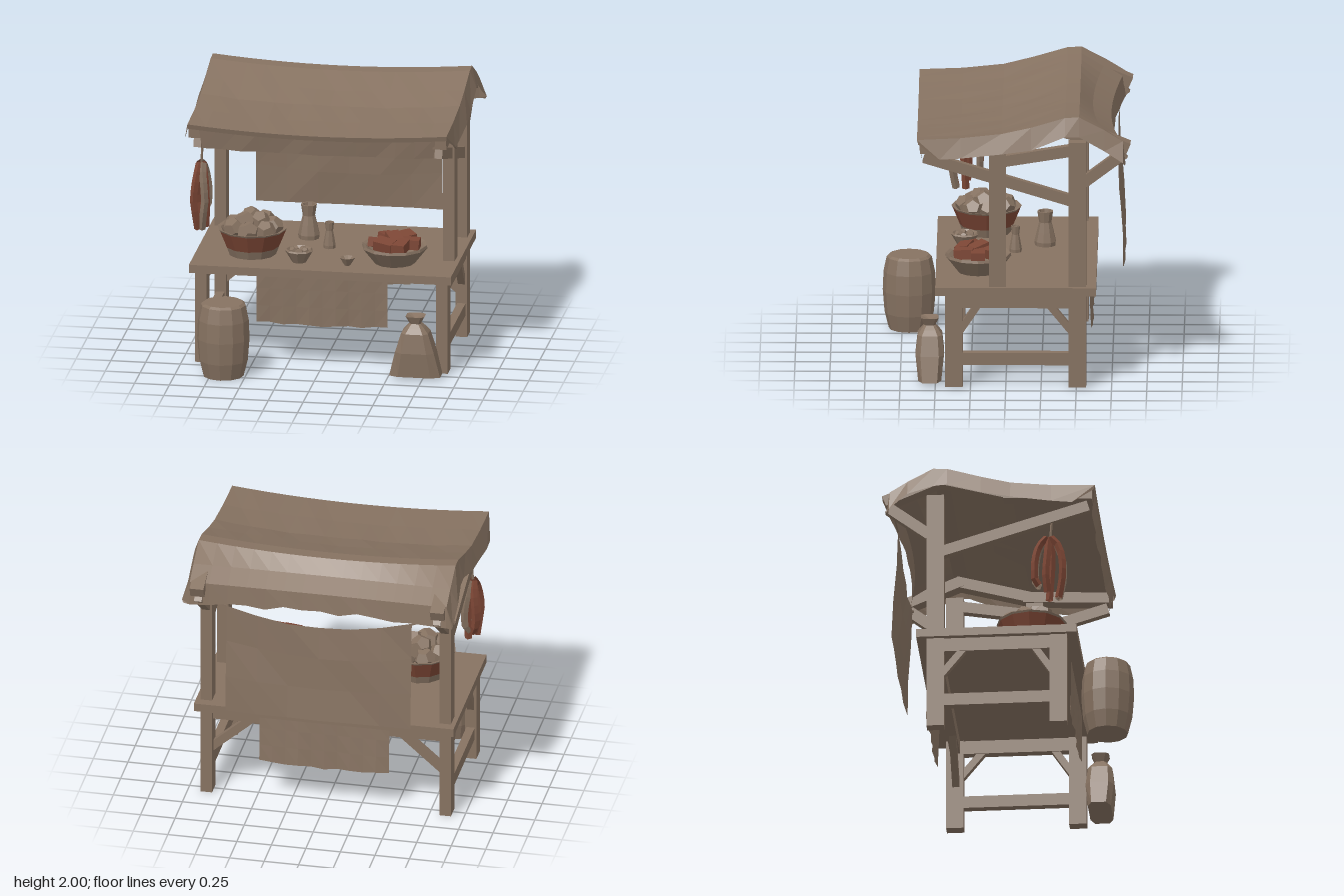
import * as THREE from 'three';

export function createModel() {
  const model = new THREE.Group();
  const brown = new THREE.MeshStandardMaterial({ color: 0x867261, side: THREE.DoubleSide });
  brown.name = 'weathered brown';
  const red = new THREE.MeshStandardMaterial({ color: 0x7c4635, side: THREE.DoubleSide });
  red.name = 'rust red';

  // Faceted mesh
  function add(name, geo, mat = brown, x = 0, y = 0, z = 0) {
    const g = geo.index ? geo.toNonIndexed() : geo;
    g.computeVertexNormals();
    const m = new THREE.Mesh(g, mat);
    m.name = name;
    m.position.set(x, y, z);
    model.add(m);
    return m;
  }
  // Box given by its lowest and highest corner
  const block = (name, a, b) => add(name,
    new THREE.BoxGeometry(b[0] - a[0], b[1] - a[1], b[2] - a[2]), brown,
    (a[0] + b[0]) / 2, (a[1] + b[1]) / 2, (a[2] + b[2]) / 2);
  // Square timber between two points
  function beam(name, a, b, w, h) {
    const p = new THREE.Vector3(...a), q = new THREE.Vector3(...b);
    const m = add(name, new THREE.BoxGeometry(w, h, p.distanceTo(q)));
    m.position.copy(p).add(q).multiplyScalar(0.5);
    m.lookAt(q);
  }
  // Sheet of quads from f(column, row)
  function sheet(name, cols, rows, f) {
    const pos = [], idx = [];
    for (let r = 0; r <= rows; r++) for (let c = 0; c <= cols; c++) {
      pos.push(...f(c, r));
      if (r < rows && c < cols) {
        const i = r * (cols + 1) + c, j = i + cols + 1;
        idx.push(i, i + 1, j, i + 1, j + 1, j);
      }
    }
    const g = new THREE.BufferGeometry();
    g.setAttribute('position', new THREE.Float32BufferAttribute(pos, 3));
    g.setIndex(idx);
    add(name, g);
  }
  const lathe = (name, pts, sides, mat, x, y, z) => add(name,
    new THREE.LatheGeometry(pts.map(p => new THREE.Vector2(...p)), sides), mat, x, y, z);
  const wave = (a, b = 0) => Math.sin(a * 2.7 + b * 1.9) * Math.cos(a * 1.3 - b * 0.7);

  // Table
  block('tableTop', [-0.94, 0.68, -0.64], [0.94, 0.74, 0.5]);
  block('backApron', [-0.83, 0.58, -0.54], [0.83, 0.68, -0.47]);
  for (const s of [-1, 1]) {
    const x = s * 0.865;
    const bar = (name, z0, z1, y0, y1, w = 0.042) => block(name, [x - w, y0, z0], [x + w, y1, z1]);
    bar('frontLeg', 0.305, 0.43, 0, 0.69);
    bar('backPost', -0.57, -0.445, 0, 1.8);
    bar('sideApron', -0.46, 0.32, 0.58, 0.68, 0.032);
    bar('lowerSideRail', -0.46, 0.32, 0.16, 0.25, 0.03);
    beam('frontLegBrace', [x, 0.4, 0.33], [x, 0.61, 0.19], 0.05, 0.05);
    beam('backLegBrace', [x, 0.4, -0.47], [x, 0.61, -0.3], 0.05, 0.05);
    beam('backBrace', [s * 0.84, 0.34, -0.5], [s * 0.52, 0.62, -0.5], 0.05, 0.06);
    // Roof frame, with a middle post on one side only
    if (s > 0) {
      bar('middlePost', 0, 0.12, 0.73, 1.74);
      beam('tieBeam', [x, 1.65, 0.06], [x, 1.74, -0.5], 0.06, 0.08);
    }
    beam('awningStrut', [x, 1.685, 0.58], [x, 1.365, -0.47], 0.055, 0.08);
    beam('rearStrut', [x, 1.5, -0.55], [x, 1.72, -0.84], 0.055, 0.08);
    beam('rearRafter', [s * 0.87, 1.93, -0.46], [s * 0.87, 1.76, -0.87], 0.1, 0.08);
    beam('middleRafter', [s * 0.87, 1.93, -0.5], [s * 0.87, 1.79, 0.02], 0.09, 0.08);
    beam('frontRafter', [s * 0.875, 1.79, -0.02], [s * 0.875, 1.76, 0.61], 0.1, 0.08);
  }

  // Sagging canopy, draped over the sides, with a ragged rear flap
  const profile = [[0.62, 1.79], [0.63, 1.825], [0.32, 1.84], [0.03, 1.865], [-0.18, 1.92],
    [-0.42, 1.99], [-0.52, 1.995], [-0.7, 1.9], [-0.83, 1.82], [-0.85, 1.655]];
  const N = 16;
  sheet('canopy', N, profile.length - 1, (c, r) => {
    let [z, y] = profile[r];
    const last = profile.length - 1;
    if (c === 0 || c === N) {
      const s = c ? 1 : -1;
      const drop = r === 0 ? 0.1 : r === last ? 0 : 0.14 + 0.02 * wave(r * 2, s);
      return [s * (0.975 + 0.012 * wave(r, s)), y - drop, Math.max(-0.84, Math.min(0.47, z))];
    }
    const x = -0.93 + 1.86 * (c - 1) / (N - 2);
    const k = 1 - (x / 0.93) ** 2;
    y -= (r === last ? 0.01 : 0.045) * k;
    if (r === last) y += 0.022 * wave(c * 2, r);
    else if (r < 5 && r > 1) y += 0.006 * wave(c * 0.6, r);
    if (r > 6) z += 0.09 * k;
    return [x, y, z];
  });
  // Valance under the front eave
  sheet('frontValance', 12, 1, (c, r) => {
    const u = c / 6 - 1, k = 1 - u * u;
    return r ? [0.83 * u, 1.645 - 0.012 * k + 0.005 * wave(c * 2), 0.6 + 0.01 * wave(c)]
      : [0.85 * u, 1.81 - 0.04 * k, 0.622];
  });

  // Hanging cloths
  sheet('rearCurtain', 6, 3, (c, r) => {
    const u = c / 3 - 1, t = r / 3;
    const top = 1.64 - 0.11 * (1 - u * u);
    return [0.67 * u, top + (0.815 - top) * t, -0.79 - 0.05 * t + 0.01 * wave(c * 0.7, r)];
  });
  for (const s of [-1, 1]) {
    beam('curtainTie', [s * 0.67, 1.635, -0.79], [s * 0.85, 1.71, -0.81], 0.012, 0.012);
  }
  for (const [name, z0, dz] of [['frontCloth', 0.425, -0.01], ['backCloth', -0.585, -0.025]]) {
    sheet(name, 10, 3, (c, r) => [
      -0.465 + 0.094 * c,
      0.7 - 0.13 * r + (r === 3 ? 0.012 * wave(c * 3, 1) : 0),
      z0 + dz * r / 3 + 0.01 * r / 3 * wave(c * 0.8, 1)]);
  }

  // Barrel
  lathe('barrel', [[0, 0], [0.145, 0], [0.175, 0.12], [0.188, 0.28], [0.182, 0.42], [0.16, 0.525],
    [0.14, 0.54], [0, 0.54]], 12, brown, -0.66, 0, 0.7);

  // Tied sack: rings of height, half width and half depth
  const sackRings = [[0.02, 0, 0], [0.02, 0.19, 0.085], [0.2, 0.145, 0.105], [0.34, 0.1, 0.09],
    [0.375, 0.07, 0.065], [0.405, 0.04, 0.04], [0.46, 0.07, 0.065], [0.435, 0, 0]];
  sheet('sack', 8, sackRings.length - 1, (c, r) => {
    const [y, w, d] = sackRings[r], a = -c * Math.PI / 4 + Math.PI / 8;
    const square = v => Math.sign(v) * Math.abs(v) ** 0.5;
    return [0.695 + w * square(Math.cos(a)), y, 0.54 + d * square(Math.sin(a))];
  });

  // Large bowl with a red band, filled with round produce
  const bx = -0.54, bz = 0.15;
  lathe('largeBowlBase', [[0, 0], [0.17, 0], [0.192, 0.06]], 12, brown, bx, 0.74, bz);
  lathe('largeBowlBand', [[0.192, 0.06], [0.242, 0.182]], 12, red, bx, 0.74, bz);
  lathe('largeBowlRim', [[0.242, 0.182], [0.25, 0.195], [0.225, 0.19], [0.16, 0.1], [0, 0.1]],
    12, brown, bx, 0.74, bz);
  function lumps(name, n, ring, r, x, y, z) {
    for (let i = 0; i < n; i++) {
      const a = i / n * Math.PI * 2 + ring * 5;
      const m = add(name, new THREE.DodecahedronGeometry(r), brown,
        x + ring * Math.cos(a), y + r * 0.15 * wave(i), z + ring * Math.sin(a));
      m.rotation.set(i, i * 2, 0);
    }
  }
  lumps('produce', 7, 0.145, 0.08, bx, 0.935, bz);
  lumps('topProduce', 3, 0.06, 0.08, bx, 0.98, bz);

  // Wide bowl with red cuts
  lathe('wideBowl', [[0, 0], [0.145, 0], [0.235, 0.115], [0.23, 0.135], [0.21, 0.125],
    [0.14, 0.06], [0, 0.06]], 12, brown, 0.49, 0.74, 0.2);
  for (let i = 0; i < 7; i++) {
    const a = i * Math.PI / 3, d = i < 6 ? 0.11 : 0;
    add('redCut', new THREE.BoxGeometry(0.14, 0.07, 0.1), red, 0.49 + d * Math.cos(a),
      0.885 + (i < 6 ? 0.012 * wave(i) : 0.02), 0.2 + d * Math.sin(a))
      .rotation.set(0.3 * wave(i), i * 1.4, 0.3 * wave(i, 2));
  }

  // Small bowl, cup and jugs
  lathe('smallBowl', [[0, 0], [0.05, 0], [0.1, 0.085], [0.09, 0.095], [0.05, 0.05], [0, 0.05]],
    9, brown, -0.18, 0.74, 0.3);
  lumps('smallProduce', 5, 0.045, 0.03, -0.18, 0.82, 0.3);
  lathe('cup', [[0, 0], [0.02, 0], [0.058, 0.06], [0.048, 0.06], [0, 0.02]], 8, brown, 0.17, 0.74, 0.33);
  const jug = [[0, 0], [0.075, 0], [0.078, 0.03], [0.062, 0.1], [0.045, 0.17], [0.058, 0.25],
    [0.045, 0.25], [0.032, 0.17], [0, 0.16]];
  lathe('tallJug', jug, 9, brown, -0.2, 0.74, -0.27);
  lathe('shortJug', jug, 8, brown, -0.02, 0.74, -0.06).scale.set(0.57, 0.76, 0.57);

  // Hook with hanging meat strips, red outside and pale inside
  beam('hook', [-0.88, 1.44, 0.31], [-0.87, 1.6, 0.32], 0.012, 0.012);
  function strip(name, pts, mat, r = 0.026) {
    const curve = new THREE.CatmullRomCurve3(pts.map(p => new THREE.Vector3(...p)));
    add(name, new THREE.TubeGeometry(curve, 7, r, 4), mat);
  }
  for (const s of [-1, 1]) {
    const z = d => 0.3 + s * d;
    const end = s > 0 ? 0.97 : 1.07;
    for (const [name, dx, mat] of [['redStrip', -1, red], ['paleStrip', 1, brown]]) {
      const x = d => -0.882 + dx * d;
      strip(name, [[x(0.012), 1.44, z(0.015)], [x(0.02), 1.38, z(0.065)], [x(0.035), 1.27, z(0.095)],
        [x(0.04), 1.17, z(0.1)], [x(0.03), 1.1, z(0.095)], [x(0.015), end, z(0.07)]], mat);
    }
  }
  strip('middleStrip', [[-0.87, 1.45, 0.31], [-0.85, 1.3, 0.32], [-0.845, 1.12, 0.31], [-0.85, 0.97, 0.3]], red);
  strip('innerStrip', [[-0.885, 1.44, 0.3], [-0.91, 1.3, 0.29], [-0.92, 1.15, 0.28], [-0.89, 1.02, 0.29]], red);

  return model;
}
